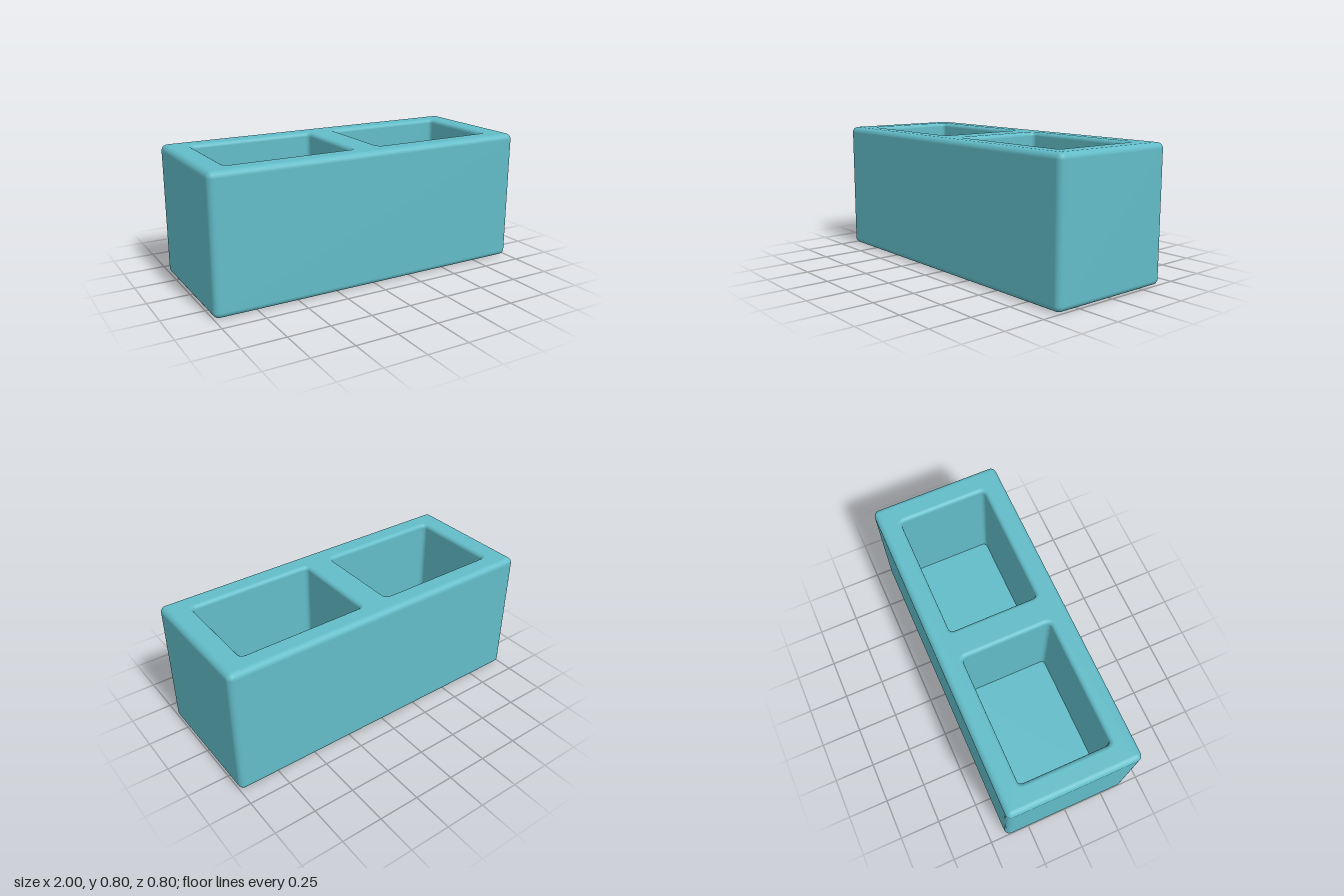
import * as THREE from 'three';

const WIDTH = 2, HEIGHT = 0.8, DEPTH = 0.8;
const EDGE = 0.035;          // outer edge rounding
const RIM = 0.025;           // rounding of the pocket rims
const FLOOR = 0.13;          // thickness of the base under the pockets
const CORNER_STEPS = 6;

// Rounded rectangle as points with outward directions, grown by an offset
function loop(halfX, halfZ, radius, offset, cx = 0) {
  const points = [];
  const r = radius + offset;
  for (let q = 0; q < 4; q++) {
    const sx = q === 0 || q === 3 ? 1 : -1;
    const sz = q < 2 ? 1 : -1;
    for (let i = 0; i <= CORNER_STEPS; i++) {
      const a = (q + i / CORNER_STEPS) * Math.PI / 2;
      const nx = Math.cos(a), nz = Math.sin(a);
      points.push({
        x: cx + sx * (halfX - radius) + r * nx,
        z: sz * (halfZ - radius) + r * nz,
        nx, nz,
      });
    }
  }
  return points;
}

// Skin a stack of loops; each profile entry is [offset, y, radial normal, vertical normal]
function sweep(rect, profile) {
  const position = [], normal = [], index = [];
  let n = 0;
  profile.forEach(([offset, y, nr, ny], row) => {
    const ring = loop(rect.halfX, rect.halfZ, rect.radius, offset, rect.cx);
    n = ring.length;
    ring.forEach((p, i) => {
      position.push(p.x, y, p.z);
      normal.push(p.nx * nr, ny, p.nz * nr);
      if (row === 0) return;
      const a = (row - 1) * n + i, b = (row - 1) * n + (i + 1) % n;
      index.push(a, a + n, b, b, a + n, b + n);
    });
  });
  const geometry = new THREE.BufferGeometry();
  geometry.setAttribute('position', new THREE.Float32BufferAttribute(position, 3));
  geometry.setAttribute('normal', new THREE.Float32BufferAttribute(normal, 3));
  geometry.setIndex(index);
  return geometry;
}

// Flat horizontal face, optionally with holes, facing up or down
function cap(rect, offset, y, up, holes = []) {
  const outline = (r, o) => loop(r.halfX, r.halfZ, r.radius, o, r.cx)
    .map((p) => new THREE.Vector2(p.x, up ? -p.z : p.z));
  const shape = new THREE.Shape(outline(rect, offset));
  for (const hole of holes) shape.holes.push(new THREE.Path(outline(hole, RIM)));
  return new THREE.ShapeGeometry(shape).rotateX(up ? -Math.PI / 2 : Math.PI / 2).translate(0, y, 0);
}

export function createModel() {
  const model = new THREE.Group();
  model.name = 'hollowBlock';
  const material = new THREE.MeshStandardMaterial({ color: 0x62bcc8 });
  const add = (name, geometry, parent = model) => {
    const mesh = new THREE.Mesh(geometry, material);
    mesh.name = name;
    parent.add(mesh);
  };

  const body = { halfX: WIDTH / 2, halfZ: DEPTH / 2, radius: EDGE, cx: 0 };
  const pockets = [-1, 1].map((side) => ({ halfX: 0.385, halfZ: 0.272, radius: 0.025, cx: side * 0.473 }));

  // Outer walls with rounded bottom and top edges
  const outer = [];
  for (const end of [-1, 1]) {
    for (let i = 0; i <= CORNER_STEPS; i++) {
      const t = i / CORNER_STEPS;
      const a = (end < 0 ? t - 1 : t) * Math.PI / 2;
      const c = Math.cos(a), s = Math.sin(a);
      const centreY = end < 0 ? EDGE : HEIGHT - EDGE;
      outer.push([EDGE * (c - 1), centreY + EDGE * s, c, s]);
    }
  }
  add('outerWalls', sweep(body, outer));
  add('topFace', cap(body, -EDGE, HEIGHT, true, pockets));
  add('bottomFace', cap(body, -EDGE, 0, false));

  // Pockets: rounded rim, straight walls, flat floor
  const inner = [];
  for (let i = 0; i <= CORNER_STEPS; i++) {
    const a = (1 - i / CORNER_STEPS) * Math.PI / 2;
    const c = Math.cos(a), s = Math.sin(a);
    inner.push([RIM * (1 - c), HEIGHT - RIM + RIM * s, -c, s]);
  }
  inner.push([0, FLOOR, -1, 0]);
  // The rim opens outward at the top and meets the wall line below
  inner.forEach((ring, i) => {
    if (i <= CORNER_STEPS) ring[0] = RIM * (1 - Math.cos((1 - i / CORNER_STEPS) * Math.PI / 2));
  });
  pockets.forEach((pocket, i) => {
    const group = new THREE.Group();
    group.name = i === 0 ? 'rightPocket' : 'leftPocket';
    add('pocketWalls', sweep(pocket, inner), group);
    add('pocketFloor', cap(pocket, 0, FLOOR, true), group);
    model.add(group);
  });
  return model;
}
